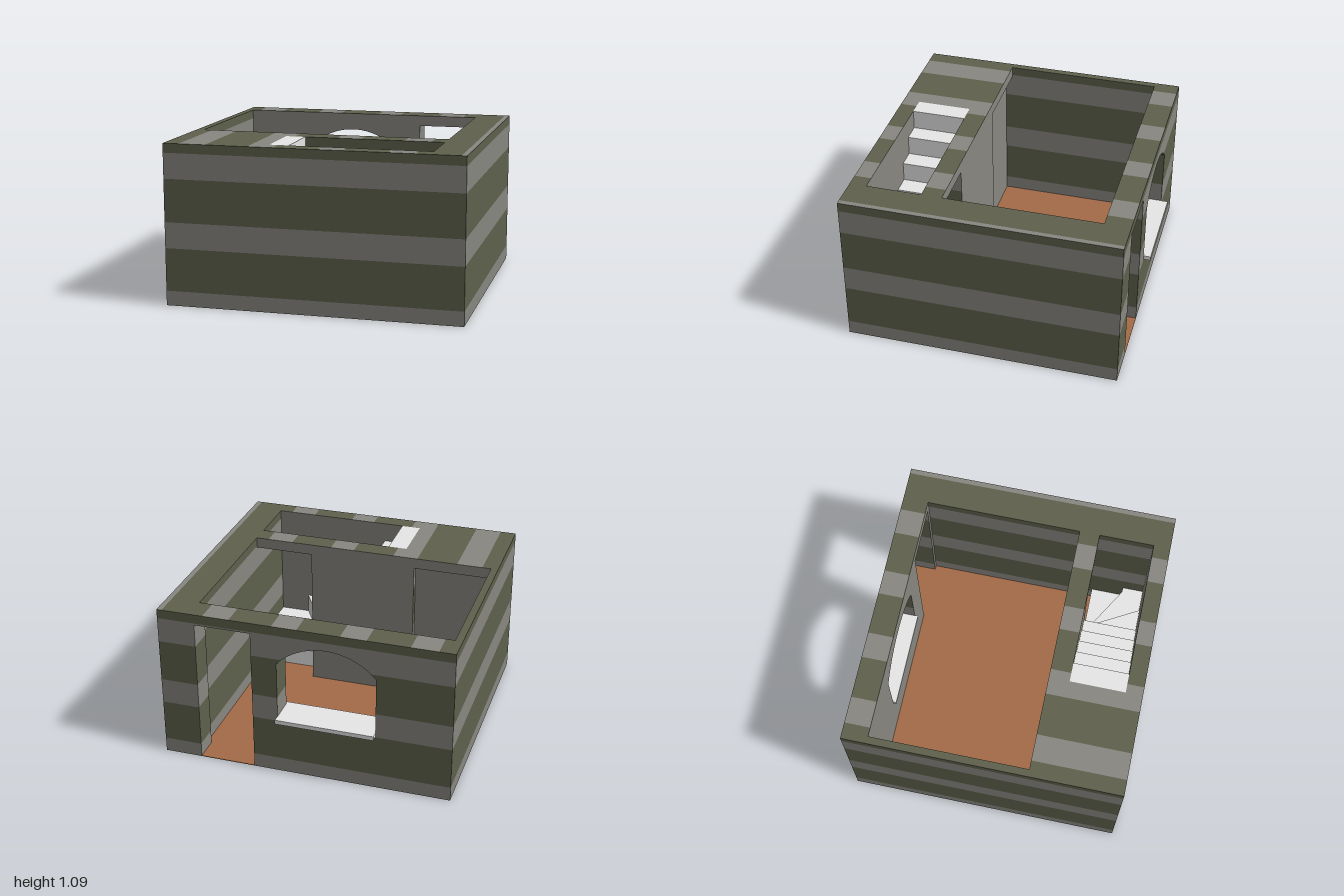
import * as THREE from 'three';

export function createModel() {
  const model = new THREE.Group();
  const mat = (name, color) => {
    const m = new THREE.MeshStandardMaterial({ color });
    m.name = name;
    return m;
  };
  const olive = mat('olive masonry', 0x5f614d);
  const grey = mat('grey masonry', 0x888781);
  const clay = mat('clay floor', 0xa56b49);
  const stone = mat('pale stone', 0xe8e8e8);

  const TOP = 1.09, LINTEL = 1.015, CAP = 1.085, BASE = 0.005;
  const BACK = -0.912, ROOM_BACK = -0.738, WELL_FRONT = 0.845;
  const group = (name) => {
    const g = new THREE.Group();
    g.name = name;
    model.add(g);
    return g;
  };
  const add = (parent, name, geometry, material) => {
    const m = new THREE.Mesh(geometry, material);
    m.name = name;
    parent.add(m);
    return m;
  };
  const box = (parent, name, x0, x1, y0, y1, z0, z1, material) =>
    add(parent, name, new THREE.BoxGeometry(x1 - x0, y1 - y0, z1 - z0), material)
      .position.set((x0 + x1) / 2, (y0 + y1) / 2, (z0 + z1) / 2);
  const polygon = (pts) => new THREE.Shape(pts.map(([x, y]) => new THREE.Vector2(x, y)));

  // Horizontal courses: bottom, top, colour
  const bands = [
    [BASE, 0.1, grey], [0.1, 0.39, olive], [0.39, 0.565, grey],
    [0.565, 0.855, olive], [0.855, 1.027, grey], [1.027, CAP, olive],
  ];
  const inBands = (lo, hi, fn) => bands.forEach(([b0, b1, m]) => {
    const a = Math.max(lo, b0), b = Math.min(hi, b1);
    if (b - a > 1e-4) fn(a, b, m);
  });

  // Thin slabs closing a wall above and below, striped across x
  const stripes = [-1, -0.89, -0.71, -0.425, -0.25, 0.04, 0.21, 0.5, 0.68, 0.965, 1];
  const stripedSlab = (parent, name, x0, x1, y0, y1, z0, z1, side) => {
    for (let i = 0; i < stripes.length - 1; i++) {
      const a = Math.max(x0, stripes[i]), b = Math.min(x1, stripes[i + 1]);
      if (b - a < 1e-4) continue;
      const face = i % 2 ? grey : olive;
      box(parent, name, a, b, y0, y1, z0, z1, [side, side, face, face, side, side]);
    }
  };
  const cap = (g, x0, x1, z0, z1) => stripedSlab(g, 'wallCap', x0, x1, CAP, TOP, z0, z1, olive);
  const base = (g, x0, x1, z0, z1) => stripedSlab(g, 'wallBase', x0, x1, 0, BASE, z0, z1, grey);
  const wall = (name, x0, x1, z0, z1, y0 = 0) => {
    const g = group(name);
    if (y0 === 0) base(g, x0, x1, z0, z1);
    inBands(y0, CAP, (a, b, m) => box(g, 'course', x0, x1, a, b, z0, z1, m));
    cap(g, x0, x1, z0, z1);
  };

  // Outer walls
  wall('rightWall', -1, -0.95, BACK, 0.96);
  wall('leftWall', 0.77, 1, BACK, 0.96);
  wall('frontWall', -0.95, 0.77, WELL_FRONT, 0.96);
  wall('doorJamb', 0.74, 0.77, BACK, ROOM_BACK);
  wall('doorLintel', 0.355, 0.74, BACK, ROOM_BACK, LINTEL);

  // Inner wall, stair doorway, and the solid corner with a shallow niche
  const NICHE = 0.38;
  wall('innerWall', -0.404, 0.355, 0.33, 0.47);
  wall('stairLintel', 0.355, 0.77, 0.33, 0.47, LINTEL);
  wall('nicheLintel', -0.95, -0.404, 0.33, NICHE, LINTEL);
  wall('nicheBlock', -0.95, -0.404, NICHE, WELL_FRONT);
  wall('stairEndWall', -0.404, -0.31, 0.47, WELL_FRONT);

  // Back wall with a segmental arched window
  const CX = -0.155, HALF = 0.335, SILL = 0.42, R = 0.449, CY = 0.521;
  const sweep = Math.asin(HALF / R);
  const arc = [];
  for (let i = 0; i <= 12; i++) {
    const a = sweep * (1 - i / 12);
    arc.push([R * Math.sin(a), CY + R * Math.cos(a)]);
  }
  const halfWidth = (y) => {
    if (y <= arc[0][1]) return HALF;
    return Math.sqrt(Math.max(0, R * R - (y - CY) ** 2));
  };
  const backWall = group('backWall');
  base(backWall, -0.95, 0.355, BACK, ROOM_BACK);
  inBands(0, SILL, (a, b, m) => box(backWall, 'course', -0.95, 0.355, a, b, BACK, ROOM_BACK, m));
  inBands(SILL, CAP, (a, b, m) => {
    const ys = [b, ...arc.map((p) => p[1]).filter((y) => y > a + 1e-4 && y < b - 1e-4).reverse(), a];
    for (const side of [-1, 1]) {
      const outer = side < 0 ? -0.95 : 0.355;
      const pts = [[outer, a], [outer, b], ...ys.map((y) => [CX + side * halfWidth(y), y])];
      const g = new THREE.ExtrudeGeometry(polygon(pts), { depth: ROOM_BACK - BACK, bevelEnabled: false });
      add(backWall, 'archCourse', g.translate(0, 0, BACK), m);
    }
  });
  cap(backWall, -0.95, 0.355, BACK, ROOM_BACK);

  // Plain grey linings on the walls inside
  const linings = group('linings');
  const backLining = polygon([
    [-0.95, 0], [0.355, 0], [0.355, LINTEL], [0.74, LINTEL], [0.74, 0], [0.77, 0], [0.77, TOP], [-0.95, TOP],
  ]);
  backLining.holes.push(polygon([
    [CX - HALF, SILL], [CX + HALF, SILL],
    ...arc.map(([w, y]) => [CX + w, y]),
    ...arc.slice(0, -1).reverse().map(([w, y]) => [CX - w, y]),
  ]));
  add(linings, 'backLining', new THREE.ShapeGeometry(backLining), grey).position.z = ROOM_BACK + 0.001;
  const facingBack = (name, pts, z) => {
    const shape = polygon(pts.map(([x, y]) => [-x, y]));
    const m = add(linings, name, new THREE.ShapeGeometry(shape), grey);
    m.rotation.y = Math.PI;
    m.position.z = z - 0.001;
  };
  facingBack('innerLining', [
    [-0.404, 0], [0.355, 0], [0.355, LINTEL], [0.77, LINTEL],
    [0.77, TOP], [-0.95, TOP], [-0.95, LINTEL], [-0.404, LINTEL],
  ], 0.33);
  facingBack('nicheLining', [[-0.95, 0], [-0.404, 0], [-0.404, LINTEL], [-0.95, LINTEL]], NICHE);
  facingBack('stairLining', [[-0.31, 0], [0.77, 0], [0.77, TOP], [-0.31, TOP]], WELL_FRONT);

  // Floor: clay above, pale stone beneath
  const floor = group('floor');
  const floorMats = [clay, clay, clay, stone, clay, clay];
  for (const [x0, x1, z0, z1] of [
    [-0.95, 0.77, ROOM_BACK, 0.33], [0.355, 0.74, BACK, ROOM_BACK], [0.355, 0.77, 0.33, 0.47],
    [-0.31, 0.77, 0.47, WELL_FRONT], [-0.95, -0.404, 0.33, NICHE],
  ]) box(floor, 'floorPanel', x0, x1, 0, 0.004, z0, z1, floorMats);

  // Window sill
  box(model, 'windowSill', -0.49, 0.183, 0.393, 0.423, -0.96, -0.715, stone);

  // Stairs: three winders, then a straight flight up to the roof
  const stairs = group('stairs');
  const RISE = TOP / 8;
  const pivot = [0.35, 0.47];
  [
    [pivot, [0.77, 0.47], [0.77, 0.695], [0.735, 0.695]],
    [pivot, [0.735, 0.695], [0.77, 0.695], [0.77, WELL_FRONT], [0.562, WELL_FRONT]],
    [pivot, [0.562, WELL_FRONT], [0.35, WELL_FRONT]],
  ].forEach((pts, i) => {
    const h = RISE * (i + 1);
    const g = new THREE.ExtrudeGeometry(polygon(pts), { depth: h - BASE, bevelEnabled: false });
    add(stairs, 'winderStep', g.rotateX(Math.PI / 2).translate(0, h, 0), stone);
  });
  const RUN = 0.132;
  for (let i = 0; i < 5; i++) {
    const x1 = 0.35 - RUN * i;
    box(stairs, 'step', x1 - RUN, x1, BASE, RISE * (i + 4), 0.47, WELL_FRONT, stone);
  }

  return model;
}
